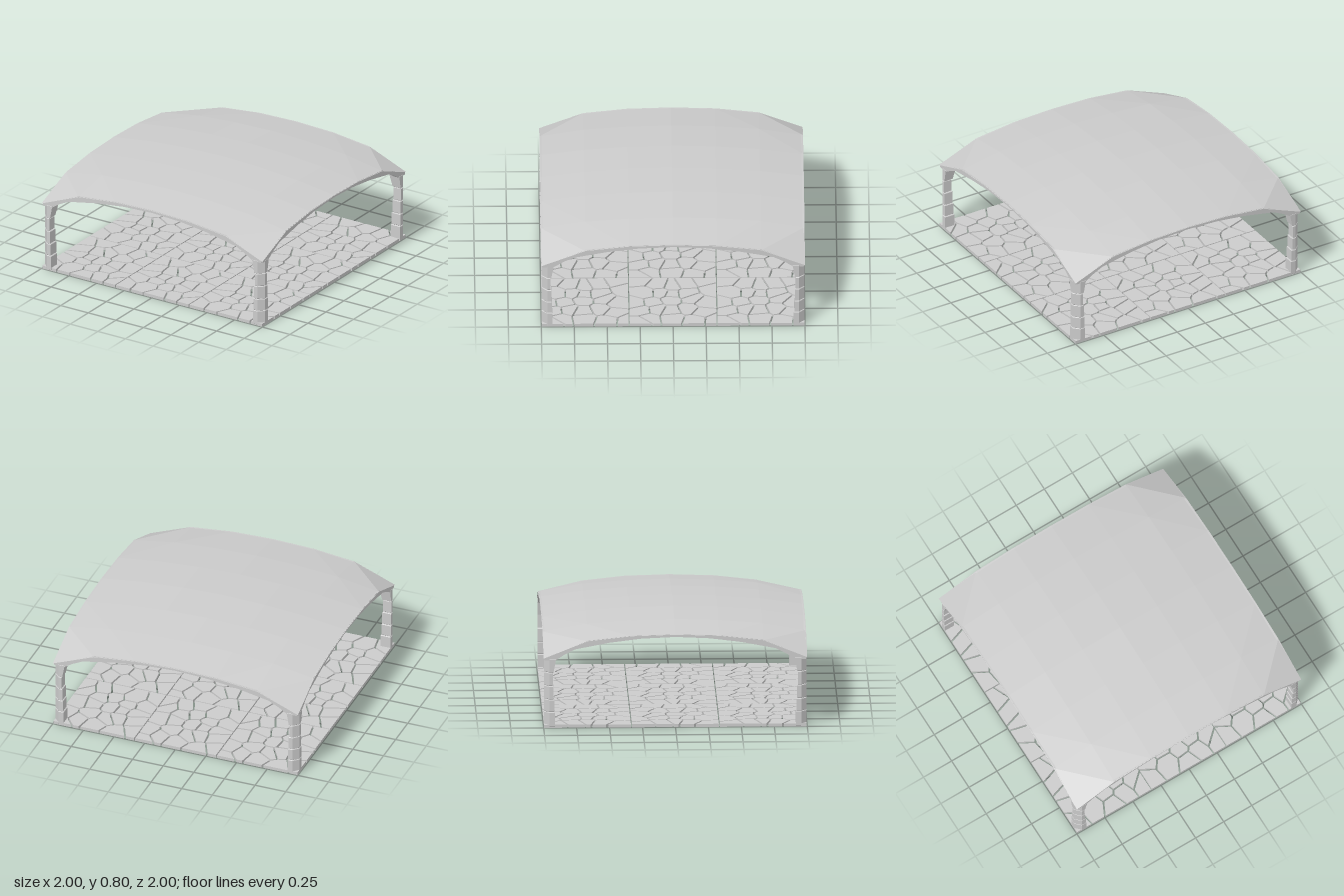
import * as THREE from 'three';
import { mergeGeometries } from 'three/addons/utils/BufferGeometryUtils.js';

const stone = new THREE.MeshStandardMaterial({ color: 0xcccccc, flatShading: true });
const sheet = new THREE.MeshStandardMaterial({ color: 0xcccccc, flatShading: true, side: THREE.DoubleSide });

function named(name, geometry, material = stone) {
  const mesh = new THREE.Mesh(geometry, material);
  mesh.name = name;
  return mesh;
}

function seeded(seed) {
  return () => (seed = (seed * 16807) % 2147483647) / 2147483647;
}

const toShape = (points) => new THREE.Shape(points.map(([x, y]) => new THREE.Vector2(x, y)));

// Keep the part of a polygon where n.p <= d
function clip(poly, nx, ny, d) {
  const out = [];
  poly.forEach((a, i) => {
    const b = poly[(i + 1) % poly.length];
    const da = nx * a[0] + ny * a[1] - d;
    const db = nx * b[0] + ny * b[1] - d;
    if (da <= 0) out.push(a);
    if (da * db < 0) {
      const t = da / (da - db);
      out.push([a[0] + (b[0] - a[0]) * t, a[1] + (b[1] - a[1]) * t]);
    }
  });
  return out;
}

// One square paving tile: irregular flagstones separated by narrow gaps
function pavingTile() {
  const rand = seeded(4711);
  const half = 0.329, nx = 5, nz = 5, gap = 0.014;
  const sites = [];
  for (let i = 0; i < nx; i++) {
    for (let j = 0; j < nz; j++) {
      sites.push([
        ((i + 0.5 + (rand() - 0.5) * 0.9) / nx * 2 - 1) * half,
        ((j + 0.5 + (rand() - 0.5) * 0.9) / nz * 2 - 1) * half,
      ]);
    }
  }
  const stones = [];
  for (const a of sites) {
    let poly = [[-half, -half], [half, -half], [half, half], [-half, half]];
    for (const b of sites) {
      if (a === b) continue;
      const dx = b[0] - a[0], dy = b[1] - a[1], len = Math.hypot(dx, dy);
      const mid = ((a[0] + b[0]) * dx + (a[1] + b[1]) * dy) / (2 * len);
      poly = clip(poly, dx / len, dy / len, mid - gap / 2);
    }
    if (poly.length > 2) stones.push(new THREE.ExtrudeGeometry(toShape(poly), { depth: 0.024, bevelEnabled: false }));
  }
  return mergeGeometries(stones).rotateX(-Math.PI / 2);
}

// Shallow domed roof on a 6 x 6 grid, with the four corners pulled down
function roofGeometry() {
  const drop = [0, 0.01, 0.035, 0.08];
  const height = (i, j) => {
    const a = Math.abs(i - 3), b = Math.abs(j - 3);
    if (a === 3 && b === 3) return 0.54;
    return 0.8 - drop[a] - drop[b] - (a + b === 5 ? 0.012 : 0);
  };
  const positions = [], index = [];
  for (let j = 0; j <= 6; j++) {
    for (let i = 0; i <= 6; i++) positions.push((i - 3) / 3, height(i, j), (j - 3) / 3);
  }
  for (let j = 0; j < 6; j++) {
    for (let i = 0; i < 6; i++) {
      const a = j * 7 + i, b = a + 1, c = a + 7, d = c + 1;
      // Each diagonal cuts across the corner nearest to it
      if ((i < 3) === (j < 3)) index.push(a, c, b, b, c, d);
      else index.push(a, c, d, a, d, b);
    }
  }
  const geometry = new THREE.BufferGeometry();
  geometry.setAttribute('position', new THREE.Float32BufferAttribute(positions, 3));
  geometry.setIndex(index);
  geometry.computeVertexNormals();
  return geometry;
}

// Square pillar block with its outer corner cut off; it may flare inwards at the top
function pillarBlock(y0, y1, inner, flare = 0) {
  const o = 0.997, c = 0.953, bevel = 0.004;
  const n = inner + bevel, m = o - bevel;
  const geometry = new THREE.ExtrudeGeometry(
    toShape([[n, -n], [n, -m], [c, -m], [m, -c], [m, -n]]),
    { depth: y1 - y0 - 2 * bevel, bevelThickness: bevel, bevelSize: bevel, bevelSegments: 1 },
  ).rotateX(-Math.PI / 2).translate(0, y0 + bevel, 0);
  const p = geometry.attributes.position;
  for (let i = 0; i < p.count; i++) {
    const t = (p.getY(i) - y0) / (y1 - y0);
    if (p.getX(i) < 0.94) p.setX(i, p.getX(i) - flare * t);
    if (p.getZ(i) < 0.94) p.setZ(i, p.getZ(i) - flare * t);
  }
  geometry.computeVertexNormals();
  return geometry;
}

// Arched beam that follows the roof edge between two pillars
function archGeometry() {
  const top = [[0, 0.722], [0.333, 0.712], [0.667, 0.676], [0.99, 0.545]];
  const bottom = [[0.99, 0.525], [0.905, 0.528], [0.84, 0.57], [0.76, 0.61], [0.5, 0.66], [0.26, 0.69], [0, 0.702]];
  const side = [...top, ...bottom];
  const other = side.slice(1, -1).reverse().map(([x, y]) => [-x, y]);
  return new THREE.ExtrudeGeometry(toShape([...side, ...other]), { depth: 0.045, bevelEnabled: false })
    .translate(0, 0, 0.95);
}

export function createModel() {
  const model = new THREE.Group();
  model.name = 'pavilion';

  // Floor of nine paving tiles
  const floor = new THREE.Group();
  floor.name = 'floor';
  const tile = pavingTile();
  for (let i = -1; i <= 1; i++) {
    for (let j = -1; j <= 1; j++) {
      const mesh = named('pavingTile', tile);
      mesh.position.set(i * 0.667, 0, j * 0.667);
      floor.add(mesh);
    }
  }
  model.add(floor);

  // A pillar and an arch for each of the four sides
  const blocks = [
    [0.005, 0.12, 0.914], [0.122, 0.218, 0.919], [0.22, 0.323, 0.924],
    [0.325, 0.428, 0.93], [0.43, 0.538, 0.925, 0.02],
  ].map((b) => pillarBlock(...b));
  const arch = archGeometry();
  for (let k = 0; k < 4; k++) {
    const side = new THREE.Group();
    side.name = 'pillarAndArch';
    side.rotation.y = k * Math.PI / 2;
    blocks.forEach((b) => side.add(named('pillarBlock', b)));
    side.add(named('arch', arch));
    model.add(side);
  }

  model.add(named('roof', roofGeometry(), sheet));
  return model;
}
